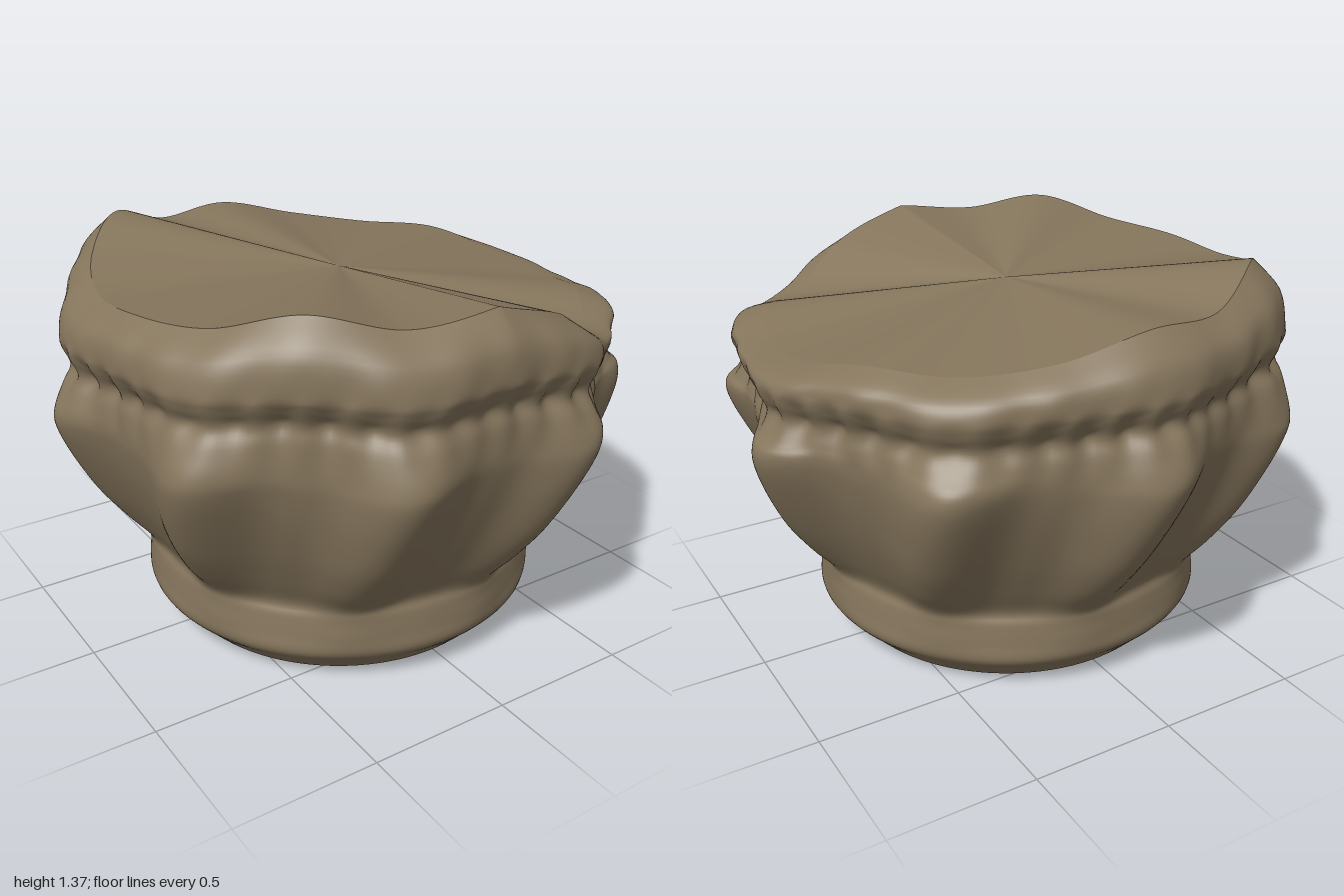
import * as THREE from 'three';

const COLS = 360, LOBES = 9, PLEATS = 45, AXIS_Z = 0.03, CENTRE_Y = 1.24;

// Rim height every 20 degrees, from the front round towards +x
const RIM = [1.33, 1.24, 1.1, 1.14, 1.11, 1.13, 1.18, 1.18, 1.22,
  1.29, 1.28, 1.37, 1.3, 1.25, 1.26, 1.28, 1.35, 1.3];
const rimCurve = new THREE.CatmullRomCurve3(
  RIM.map((y, i) => new THREE.Vector3(i, y, 0)).concat(new THREE.Vector3(RIM.length, RIM[0], 0)));
const rimHeight = (t) => rimCurve.getPoint(t / (2 * Math.PI)).y;

// Rib strength: 1 on a rib, 0 midway between ribs; the ribs twist towards the foot
function ribAt(t, y) {
  const twist = 0.16 * THREE.MathUtils.clamp((0.87 - y) / 0.58, 0, 1);
  return Math.pow((1 + Math.cos(LOBES * (t + twist - Math.PI))) / 2, 1.6);
}

// Vertical section at angle t: ribbed bowl, pleated neck and wavy lip
function section(t) {
  const h = rimHeight(t);
  const neck = 1.0 + 0.32 * (h - CENTRE_Y);
  const lip = neck + 0.105;
  const pleat = Math.cos(PLEATS * t + 0.9 * Math.sin(4 * t)) * (0.75 + 0.25 * Math.sin(7 * t));
  const wave = Math.cos(27 * t + Math.sin(5 * t));
  // Radius between ribs, extra radius on a rib, height
  const rows = [
    [0.6, 0, 0], [0.653, 0, 0.055], [0.706, 0, 0.115], [0.702, 0.01, 0.18],
    [0.692, 0.015, 0.25], [0.682, 0.035, 0.3], [0.735, 0.065, 0.4],
    [0.8, 0.09, 0.53], [0.86, 0.105, 0.68], [0.895, 0.115, 0.8], [0.905, 0.106, 0.87],
    [0.902 + 0.006 * pleat, 0.07, neck - 0.06],
    [0.89 + 0.013 * pleat, 0.045, neck],
    [0.92 + 0.014 * pleat, 0.037, neck + 0.055 + 0.012 * pleat],
    [0.938 + 0.003 * wave, 0.03, lip],
    [0.922 + 0.003 * wave, 0.015, lip + (h - lip) * 0.55],
    [0.84, 0, h],
  ];
  return new THREE.SplineCurve(
    rows.map(([r, rib, y]) => new THREE.Vector2(r + rib * ribAt(t, y), y))).getPoints(80);
}

// Closed surface of revolution whose section varies with the angle
function sweep(sectionAt) {
  const pos = [], idx = [];
  let n = 0;
  for (let j = 0; j < COLS; j++) {
    const t = (j / COLS) * 2 * Math.PI;
    const pts = sectionAt(t);
    n = pts.length;
    for (const p of pts) pos.push(p.x * Math.sin(t), p.y, p.x * Math.cos(t));
  }
  for (let j = 0; j < COLS; j++) {
    const a = j * n, b = ((j + 1) % COLS) * n;
    for (let i = 0; i < n - 1; i++) {
      idx.push(a + i, b + i, b + i + 1, a + i, b + i + 1, a + i + 1);
    }
  }
  const g = new THREE.BufferGeometry();
  g.setAttribute('position', new THREE.Float32BufferAttribute(pos, 3));
  g.setIndex(idx);
  g.computeVertexNormals();
  return g;
}

export function createModel() {
  const group = new THREE.Group();
  group.name = 'lobedPot';
  const clay = new THREE.MeshStandardMaterial({ color: 0x85755c });
  clay.name = 'brown clay';

  const add = (name, geometry) => {
    const mesh = new THREE.Mesh(geometry, clay);
    mesh.name = name;
    mesh.position.z = AXIS_Z;
    group.add(mesh);
  };

  // Ribbed wall from the foot to the lip
  add('wall', sweep(section));

  // Fan-shaped top falling and rising from the centre to the wavy lip
  add('top', sweep((t) => {
    const h = rimHeight(t);
    return [1, 0.75, 0.5, 0.25, 0.002].map(
      (s) => new THREE.Vector2(0.84 * s, CENTRE_Y + (h - CENTRE_Y) * s));
  }));

  // Flat underside
  add('underside', new THREE.CircleGeometry(0.6, 90).rotateX(Math.PI / 2));

  return group;
}
